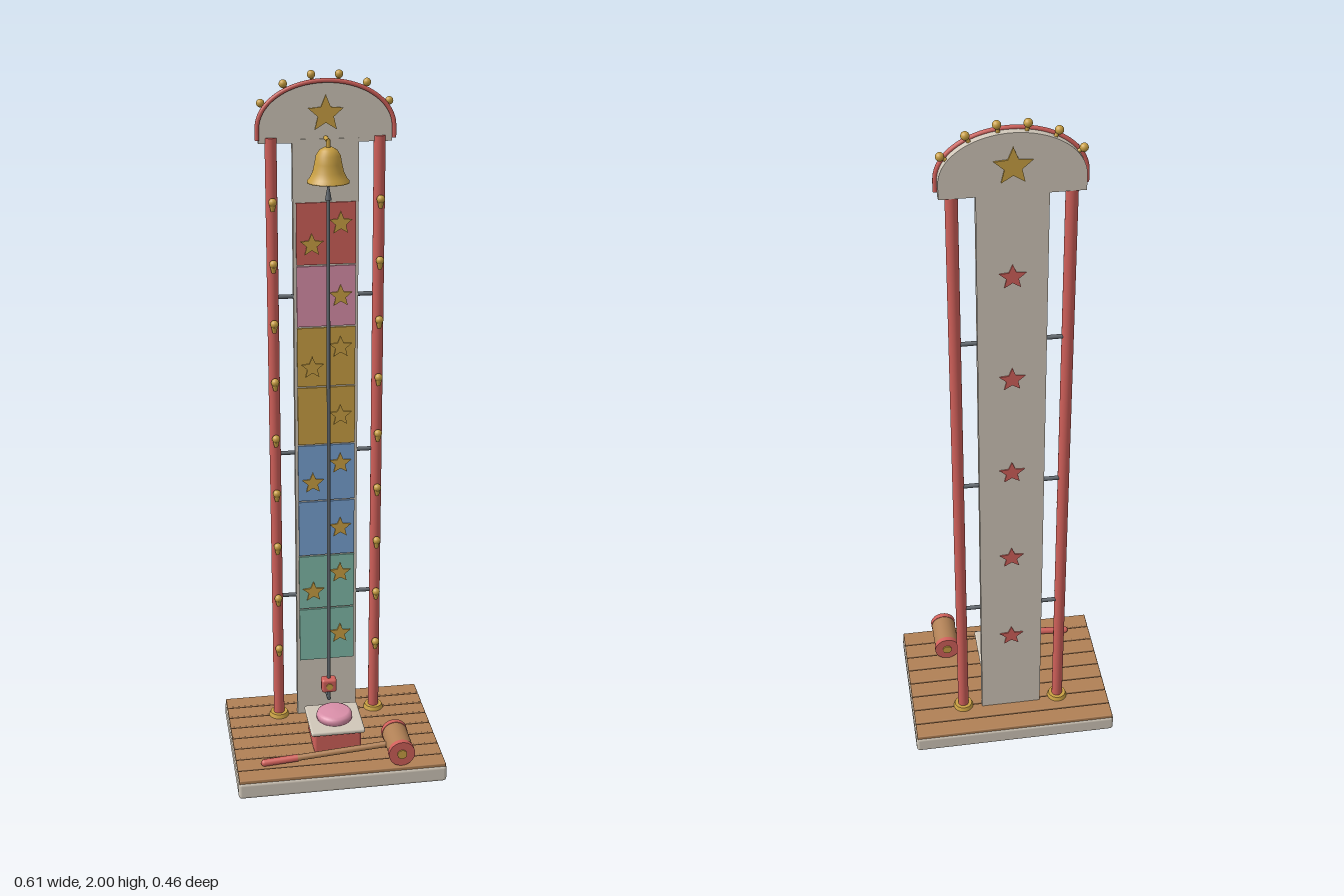
import * as THREE from 'three';
import { RoundedBoxGeometry } from 'three/addons/geometries/RoundedBoxGeometry.js';

const mat = (name, color) => {
  const m = new THREE.MeshStandardMaterial({ color });
  m.name = name;
  return m;
};

export function createModel() {
  const root = new THREE.Group();
  root.name = 'strengthTester';
  const cream = mat('cream', 0xd0c7b9), wood = mat('wood', 0xb08055), red = mat('red', 0xd0605a);
  const pink = mat('pink', 0xda8fa9), gold = mat('gold', 0xc9a043), blue = mat('blue', 0x78a2d2);
  const teal = mat('teal', 0x80bba9), steel = mat('steel', 0x5f666c);

  const add = (name, geo, material, x = 0, y = 0, z = 0, parent = root) => {
    const m = new THREE.Mesh(geo, material);
    m.name = name;
    m.position.set(x, y, z);
    parent.add(m);
    return m;
  };
  const box = (w, h, d) => new THREE.BoxGeometry(w, h, d);
  const round = (w, h, d, r) => new RoundedBoxGeometry(w, h, d, 3, r);
  const cyl = (r, h, r2 = r) => new THREE.CylinderGeometry(r, r2, h, 24);
  const ball = r => new THREE.SphereGeometry(r, 16, 12);
  // Rod between two points
  const rod = (name, a, b, r, material) => {
    const p = new THREE.Vector3(...a), q = new THREE.Vector3(...b);
    const m = add(name, cyl(r, p.distanceTo(q)), material);
    m.position.lerpVectors(p, q, 0.5);
    m.quaternion.setFromUnitVectors(new THREE.Vector3(0, 1, 0), q.sub(p).normalize());
    return m;
  };
  // Thin five-pointed star plate centred on z
  const star = (name, r, x, y, z, material) => {
    const pts = [];
    for (let i = 0; i < 10; i++) {
      const a = Math.PI / 2 + i * Math.PI / 5, k = i % 2 ? r * 0.45 : r;
      pts.push(new THREE.Vector2(k * Math.cos(a), k * Math.sin(a)));
    }
    const g = new THREE.ExtrudeGeometry(new THREE.Shape(pts), { depth: 0.005, bevelEnabled: false });
    return add(name, g.translate(0, 0, -0.0025), material, x, y, z);
  };

  // Platform with planks
  add('platform', round(0.61, 0.052, 0.46, 0.01), cream, 0, 0.026, 0);
  for (let i = 0; i < 8; i++)
    add('plank', round(0.604, 0.014, 0.053, 0.003), wood, 0, 0.053, -0.2 + i * 0.0571);

  // Tower board with coloured score panels
  add('towerBoard', box(0.18, 1.77, 0.022), cream, 0, 0.935, -0.118);
  [teal, teal, blue, blue, gold, gold, pink, red].forEach((c, i) => {
    const y = 0.335 + i * 0.1757;
    add('scorePanel', box(0.164, 0.171, 0.006), c, 0, y, -0.105);
    if (i % 2) {
      star('panelStar', 0.033, 0.04, y + 0.028, -0.1, gold);
      star('panelStar', 0.033, -0.04, y - 0.03, -0.1, gold);
    } else star('panelStar', 0.033, 0.04, y, -0.1, gold);
  });
  // Two-panel rows alternate, with the pink row carrying a single star
  for (let i = 0; i < 5; i++) star('backStar', 0.036, 0, 0.352 + i * 0.308, -0.13, red);

  // Side posts, feet, cross rods and lamps
  for (const s of [-1, 1]) {
    const x = s * 0.147;
    add('post', cyl(0.016, 1.765), red, x, 0.9425, -0.114);
    add('postFoot', cyl(0.026, 0.012, 0.03), gold, x, 0.066, -0.114);
    for (const y of [0.468, 0.925, 1.389])
      rod('crossRod', [s * 0.085, y, -0.116], [x, y, -0.116], 0.006, steel);
    for (let i = 0; i < 9; i++) {
      const y = 0.3 + i * 0.1692;
      rod('lampArm', [x, y - 0.01, -0.105], [x, y - 0.01, -0.086], 0.005, steel);
      add('lampCup', cyl(0.009, 0.016, 0.005), gold, x, y - 0.012, -0.087);
      add('lampBulb', ball(0.0115), gold, x, y + 0.004, -0.087);
    }
  }

  // Arched sign
  const arch = (a, b, t) => new THREE.Vector3(a * Math.cos(t), 1.85 + b * Math.sin(t), 0);
  const sign = new THREE.Shape();
  sign.moveTo(-0.18, 1.81);
  sign.lineTo(0.18, 1.81);
  for (let i = 0; i <= 40; i++) {
    const p = arch(0.18, 0.12, i * Math.PI / 40);
    sign.lineTo(p.x, p.y);
  }
  sign.closePath();
  add('signBoard', new THREE.ExtrudeGeometry(sign, { depth: 0.022, bevelEnabled: false }), cream, 0, 0, -0.131);
  star('signStarFront', 0.05, 0, 1.885, -0.107, gold);
  star('signStarBack', 0.05, 0, 1.885, -0.133, gold);
  const trim = [new THREE.Vector3(0.184, 1.82, 0)];
  for (let i = 0; i <= 24; i++) trim.push(arch(0.184, 0.122, i * Math.PI / 24));
  trim.push(new THREE.Vector3(-0.184, 1.82, 0));
  add('signTrim', new THREE.TubeGeometry(new THREE.CatmullRomCurve3(trim), 80, 0.006, 10), red, 0, 0, -0.105);
  for (const d of [28, 55, 79, 101, 125, 152]) {
    const t = d * Math.PI / 180, p = arch(0.195, 0.139, t), q = arch(0.178, 0.118, t);
    add('signBulb', ball(0.011), gold, p.x, p.y, -0.118);
    rod('signBulbStem', [q.x, q.y, -0.118], [p.x, p.y, -0.118], 0.005, gold);
  }

  // Bell on its bracket
  const profile = [[0, 0.094], [0.012, 0.093], [0.024, 0.086], [0.033, 0.072], [0.037, 0.05],
    [0.042, 0.028], [0.05, 0.012], [0.057, 0.004], [0.057, 0], [0.05, 0], [0.036, 0.03], [0.03, 0.065], [0, 0.082]]
    .map(p => new THREE.Vector2(...p)).reverse();
  add('bell', new THREE.LatheGeometry(profile, 40), gold, 0, 1.712, -0.064).material.side = THREE.DoubleSide;
  rod('bellBracket', [0, 1.822, -0.11], [0, 1.822, -0.06], 0.006, gold);
  rod('bellHanger', [0, 1.8, -0.062], [0, 1.825, -0.062], 0.006, gold);

  // Guide rail, lower bracket and slider
  rod('guideRail', [0, 0.13, -0.063], [0, 1.68, -0.063], 0.005, steel);
  add('railTip', cyl(0.002, 0.04, 0.009), steel, 0, 1.685, -0.063);
  rod('railBracket', [0, 0.135, -0.11], [0, 0.135, -0.058], 0.006, steel);
  add('slider', round(0.046, 0.044, 0.034, 0.008), red, 0, 0.183, -0.063);
  add('sliderBadge', new THREE.CylinderGeometry(0.01, 0.01, 0.004, 16).rotateX(Math.PI / 2), gold, 0, 0.183, -0.045);

  // Strike pad
  add('padBase', round(0.14, 0.065, 0.135, 0.008), red, 0, 0.09, 0.048);
  add('padPlate', round(0.16, 0.014, 0.158, 0.006), cream, 0, 0.128, 0.048);
  const dome = [[0, 0], [0.053, 0], [0.053, 0.013], [0.05, 0.02], [0.042, 0.025], [0, 0.027]];
  add('padButton', new THREE.LatheGeometry(dome.map(p => new THREE.Vector2(...p)), 32), pink, 0, 0.134, 0.047);

  // Mallet resting on the planks
  const mx = 0.172, my = 0.1, mz = 0.156;
  const disc = (name, r, len, z, m) =>
    add(name, new THREE.CylinderGeometry(r, r, len, 32).rotateX(Math.PI / 2), m, mx, my, z);
  disc('malletHead', 0.037, 0.12, mz, wood);
  for (const s of [-1, 1]) {
    disc('malletBand', 0.0385, 0.016, mz + s * 0.055, red);
    disc('malletCap', 0.014, 0.006, mz + s * 0.064, gold);
  }
  rod('malletHandle', [-0.13, 0.076, mz], [mx, my, mz], 0.009, wood);
  rod('malletGrip', [-0.222, 0.0687, mz], [-0.125, 0.0764, mz], 0.0105, red);
  add('malletGripEnd', ball(0.0105), red, -0.222, 0.0687, mz);

  return root;
}
